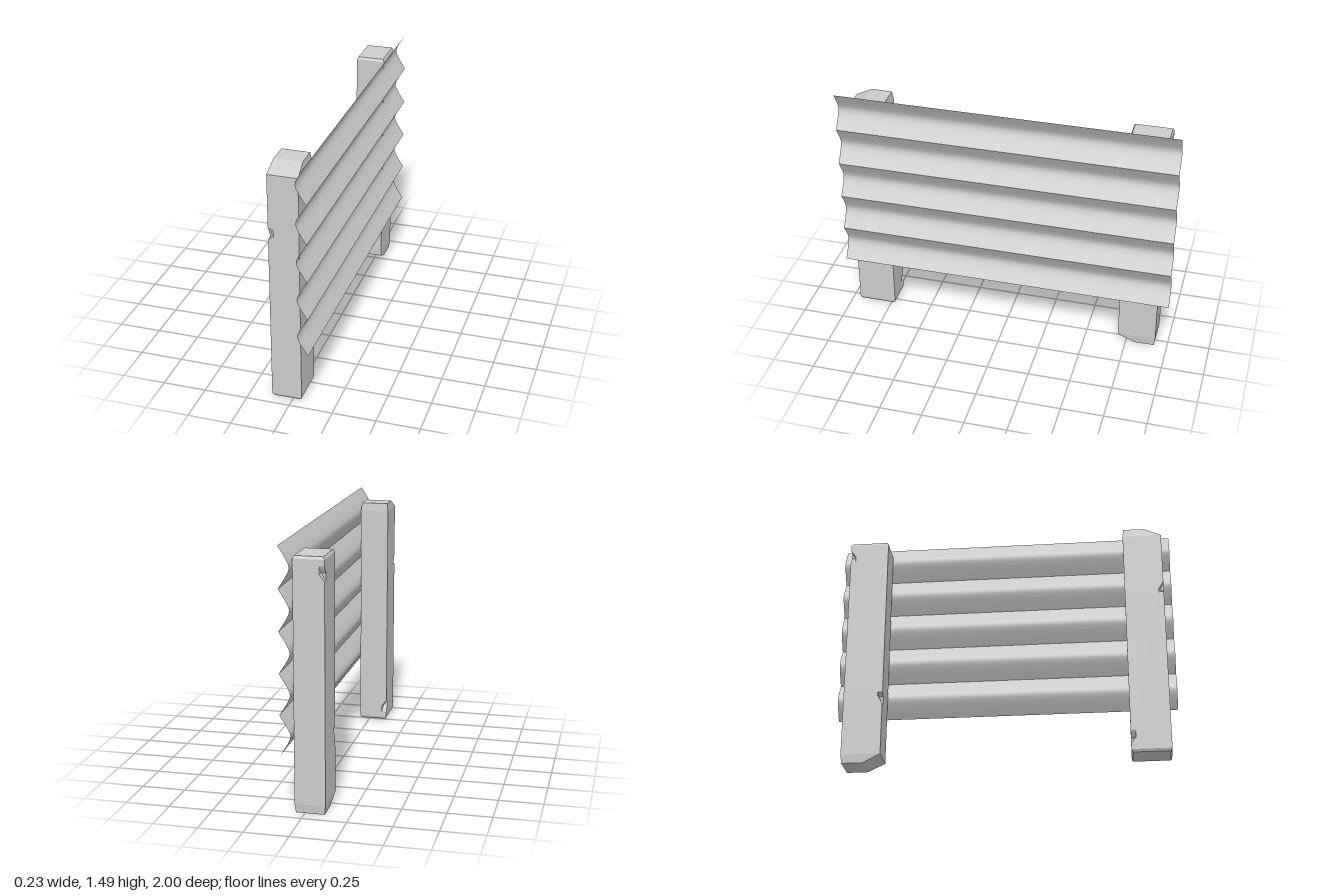
import * as THREE from 'three';

const grey = new THREE.MeshStandardMaterial({ color: 0xcccccc, flatShading: true });
const sheetGrey = new THREE.MeshStandardMaterial({ color: 0xcccccc, side: THREE.DoubleSide });

const HX = 0.086, HZ = 0.114, HEIGHT = 1.42, CHIP = 0.03;

// One outline of the post: three points per corner, so single corners can be chipped.
// chips = inward offset for corners (-x,+z), (+x,+z), (+x,-z), (-x,-z)
function outline(y, inset = 0, chips = [0, 0, 0, 0], maxZ = HZ) {
  const hx = HX - inset, hz = HZ - inset, pts = [];
  [[-1, 1], [1, 1], [1, -1], [-1, -1]].forEach(([sx, sz], i) => {
    const c = chips[i];
    const alongX = [sx * (hx - CHIP), sz * hz];
    const alongZ = [sx * hx, sz * (hz - CHIP)];
    const corner = [sx * (hx - c), sz * (hz - c)];
    const trio = sx * sz < 0 ? [alongZ, corner, alongX] : [alongX, corner, alongZ];
    trio.forEach(([x, z]) => pts.push([x, y, Math.min(z, maxZ)]));
  });
  return pts;
}

// Weathered timber post; flipped stands it on its other end
function makePost(flipped) {
  const rings = [
    outline(0, 0.008),
    outline(0.015),
    outline(0.05),
    outline(0.09, 0, [0, 0, 0, 0.022]),
    outline(0.13),
    outline(0.99),
    outline(1.01, 0, [0.024, 0, 0, 0]),
    outline(1.06),
    outline(1.37),
    outline(HEIGHT, 0.006, [0, 0, 0, 0], 0.015),
  ];
  const n = rings[0].length, index = [];
  const tri = (a, b, c) => index.push(...(flipped ? [a, c, b] : [a, b, c]));
  for (let r = 0; r < rings.length - 1; r++) {
    for (let i = 0; i < n; i++) {
      const a = r * n + i, b = r * n + (i + 1) % n;
      tri(a, b, b + n);
      tri(a, b + n, a + n);
    }
  }
  // End caps
  const top = (rings.length - 1) * n;
  for (let i = 1; i < n - 1; i++) {
    tri(0, i + 1, i);
    tri(top, top + i, top + i + 1);
  }
  const points = rings.flat().flatMap(([x, y, z]) => [x, flipped ? HEIGHT - y : y, z]);
  const geometry = new THREE.BufferGeometry();
  geometry.setAttribute('position', new THREE.Float32BufferAttribute(points, 3));
  geometry.setIndex(index);
  const flat = geometry.toNonIndexed();
  flat.computeVertexNormals();
  return new THREE.Mesh(flat, grey);
}

// One corrugation: rounded valley between two sharp ridges
function makeCorrugation(height) {
  const geometry = new THREE.PlaneGeometry(2, height, 1, 14);
  geometry.rotateY(Math.PI / 2);
  const p = geometry.attributes.position, round = 0.22;
  const reach = Math.hypot(1, round) - round;
  for (let i = 0; i < p.count; i++) {
    const t = p.getY(i) / (height / 2);
    p.setX(i, 0.055 + 0.06 * (Math.hypot(t, round) - round) / reach);
  }
  geometry.computeVertexNormals();
  return new THREE.Mesh(geometry, sheetGrey);
}

export function createModel() {
  const model = new THREE.Group();

  const frontPost = makePost(false);
  frontPost.name = 'frontPost';
  frontPost.position.set(-0.03, 0.01, 0.834);

  const backPost = makePost(true);
  backPost.name = 'backPost';
  backPost.position.set(-0.03, 0, -0.814);

  // Corrugated sheet fixed to the outer faces of the posts
  const sheet = new THREE.Group();
  sheet.name = 'corrugatedSheet';
  const pitch = 0.228;
  for (let i = 0; i < 5; i++) {
    const strip = makeCorrugation(pitch);
    strip.name = 'corrugation' + (i + 1);
    strip.position.y = 0.345 + pitch * (i + 0.5);
    sheet.add(strip);
  }

  model.add(frontPost, backPost, sheet);
  return model;
}
